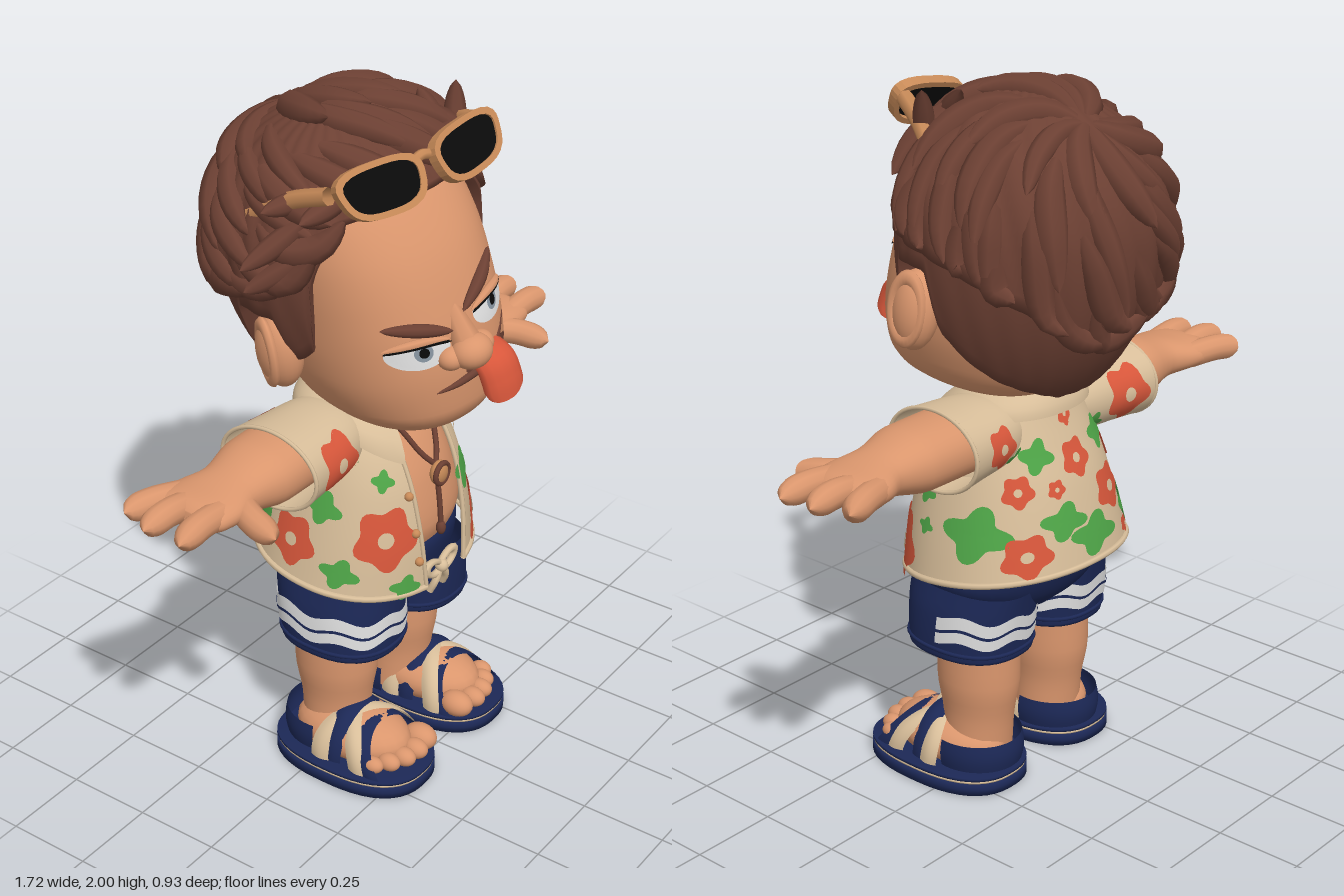
import * as THREE from 'three';
import { mergeVertices } from 'three/addons/utils/BufferGeometryUtils.js';

const { PI, sin, cos, abs, sqrt, asin, min, max } = Math;
const mat = (name, color) => {
  const m = new THREE.MeshStandardMaterial({ color, side: THREE.DoubleSide });
  m.name = name;
  return m;
};
const V = (p) => new THREE.Vector3(...p);

// Smooth, overshoot-free interpolation of rows [key, a, b, ...]
function sample(rows, k) {
  const n = rows.length;
  let i = 0;
  while (i < n - 2 && k > rows[i + 1][0]) i++;
  const h = rows[i + 1][0] - rows[i][0], s = min(1, max(0, (k - rows[i][0]) / h));
  const sec = (j, c) => (rows[j + 1][c] - rows[j][c]) / (rows[j + 1][0] - rows[j][0]);
  const slope = (j, c) => {
    if (j === 0) return sec(0, c);
    if (j === n - 1) return sec(n - 2, c);
    const p = sec(j - 1, c), q = sec(j, c);
    return p * q <= 0 ? 0 : (2 * p * q) / (p + q);
  };
  return rows[0].slice(1).map((_, c0) => {
    const c = c0 + 1, t2 = s * s, t3 = t2 * s;
    return rows[i][c] * (2 * t3 - 3 * t2 + 1) + rows[i + 1][c] * (3 * t2 - 2 * t3)
      + h * (slope(i, c) * (t3 - 2 * t2 + s) + slope(i + 1, c) * (t3 - t2));
  });
}
// Surface over rings [y, halfWidth, zFront, zBack]; angle 0 is the front
const surf = (rings, e = 2.2, x0 = 0) => (a, y, off = 0) => {
  const [w, zf, zb] = sample(rings, y), s = sin(a), c = cos(a);
  const k = (abs(s) ** e + abs(c) ** e) ** (-1 / e);
  return [x0 + (w + off) * s * k, y, (zf + zb) / 2 + ((zf - zb) / 2 + off) * c * k];
};
function grid(f, nu, nv) {
  const pos = [], idx = [];
  for (let j = 0; j <= nv; j++) for (let i = 0; i <= nu; i++) pos.push(...f(i / nu, j / nv));
  for (let j = 0; j < nv; j++) for (let i = 0; i < nu; i++) {
    const p = j * (nu + 1) + i, q = p + nu + 1;
    idx.push(p, p + 1, q + 1, p, q + 1, q);
  }
  let g = new THREE.BufferGeometry();
  g.setAttribute('position', new THREE.Float32BufferAttribute(pos, 3));
  g.setIndex(idx);
  g = mergeVertices(g, 1e-5);
  g.computeVertexNormals();
  return g;
}
function loft(rings, e = 2.2, x0 = 0, nu = 40, sub = 4) {
  const f = surf(rings, e, x0), n = rings.length - 1;
  return grid((u, v) => {
    const t = v * n, i = min(n - 1, Math.floor(t + 1e-6));
    return f(u * 2 * PI, rings[i][0] + (rings[i + 1][0] - rings[i][0]) * (t - i));
  }, nu, n * sub);
}
// Tube whose radius follows a rule along its length
function taper(points, radius, n = 10, m = 8) {
  const curve = new THREE.CatmullRomCurve3(points.map(V));
  const g = new THREE.TubeGeometry(curve, n, 1, m), p = g.attributes.position, v = new THREE.Vector3();
  for (let i = 0; i < p.count; i++) {
    const s = Math.floor(i / (m + 1)) / n, c = curve.getPointAt(s);
    v.fromBufferAttribute(p, i).sub(c).multiplyScalar(radius(s)).add(c);
    p.setXYZ(i, v.x, v.y, v.z);
  }
  return g;
}
const cord = (points, r, n = 24, closed = false) =>
  new THREE.TubeGeometry(new THREE.CatmullRomCurve3(points.map(V), closed), n, r, 7, closed);
const rounded = (r) => (s) => max(0.0005, r * (s < 0.7 ? 1 : sqrt(max(0, 1 - ((s - 0.7) / 0.3) ** 2))));
const leafy = (r) => (s) => 0.001 + r * max(0, sin(PI * s)) ** 0.6;
const ball = (p, rx, ry = rx, rz = rx) => new THREE.SphereGeometry(1, 24, 16).scale(rx, ry, rz).translate(...p);
// Thin painted patch laid on a surface
const patch = (place, outline, off = 0.005) => grid((u, v) => {
  const [x, y] = outline(u * 2 * PI);
  return place(x * (1 - v), y * (1 - v), off);
}, 40, 5);
const oval = (rx, ry, top = 1) => (t) => [rx * cos(t), min(ry * sin(t), top)];
const lobed = (R, n, d, sx = 1) => (t) => {
  const r = R * (1 - d + d * cos(n * t + 1));
  return [r * cos(t) * sx, r * sin(t)];
};
function mirror(geo) {
  const g = mergeVertices(geo.clone().scale(-1, 1, 1)), ix = g.index;
  for (let i = 0; i < ix.count; i += 3) {
    const a = ix.getX(i);
    ix.setX(i, ix.getX(i + 1));
    ix.setX(i + 1, a);
  }
  return g;
}

export function createModel() {
  const root = new THREE.Group();
  const skin = mat('skin', 0xda966d), brown = mat('hairBrown', 0x6c4033), navy = mat('navy', 0x1c2856);
  const cream = mat('cream', 0xd8be9a), red = mat('coralRed', 0xd8573b), green = mat('leafGreen', 0x4fa648);
  const white = mat('white', 0xe2e2e2), black = mat('black', 0x0a0a0a), tan = mat('frameTan', 0xc78a58);
  const grey = mat('irisGrey', 0x8794a0);
  const add = (parent, name, geo, m) => {
    const mesh = new THREE.Mesh(geo, m);
    mesh.name = name;
    parent.add(mesh);
  };
  const pair = (parent, name, geo, m) => {
    add(parent, name + 'Left', geo, m);
    add(parent, name + 'Right', mirror(geo), m);
  };

  // Torso and shirt
  add(root, 'torso', loft([[0.6, 0.22, 0.16, -0.16], [0.68, 0.25, 0.205, -0.19], [0.77, 0.262, 0.235, -0.22], [0.9, 0.23, 0.215, -0.2],
    [1.0, 0.2, 0.175, -0.18], [1.09, 0.17, 0.11, -0.15], [1.14, 0.11, 0.055, -0.15], [1.24, 0.1, 0.045, -0.14]]), skin);
  const shirtRaw = surf([[0.64, 0.325, 0.27, -0.3], [0.75, 0.302, 0.265, -0.28], [0.9, 0.265, 0.24, -0.245],
    [1.0, 0.235, 0.2, -0.21], [1.08, 0.2, 0.145, -0.18], [1.14, 0.15, 0.085, -0.16], [1.17, 0.105, 0.05, -0.145]]);
  const shirt = (a, y, off) => {
    const p = shirtRaw(a, y, off);
    p[1] -= 0.14 * p[2] * min(1, max(0, (1 - y) / 0.35));
    return p;
  };
  const gap = (y) => 0.28 + (y - 0.63) * 0.45;
  const around = (u, y) => gap(y) + u * (2 * PI - 2 * gap(y));
  add(root, 'shirt', grid((u, v) => shirt(around(u, 0.64 + 0.53 * v), 0.64 + 0.53 * v), 64, 28), cream);
  add(root, 'shirtHem', cord([...Array(33).keys()].map((i) => shirt(around(i / 32, 0.645), 0.645)), 0.009, 64), cream);
  for (const s of [0, 1]) add(root, 'placket', cord([...Array(9).keys()].map((i) => {
    const y = 0.645 + i * 0.052;
    return shirt(around(s, y), y);
  }), 0.007), cream);
  for (const y of [0.73, 0.81, 0.91]) add(root, 'button', ball(shirt(-gap(y) - 0.06, y, 0.004), 0.013), tan);
  add(root, 'collar', grid((u, v) => {
    const a = 0.46 + u * (2 * PI - 0.92), front = max(0, cos(a)) ** 2;
    const o = shirt(a, 1.1 - 0.13 * front, 0.022), k = sin(v * PI / 2);
    return [0.108 * sin(a) * (1 - k) + o[0] * k, 1.185 * (1 - v) + o[1] * v, (-0.045 + 0.108 * cos(a)) * (1 - k) + o[2] * k];
  }, 48, 6), cream);

  // Shirt print: [angle in degrees, height, size, kind]
  const flower = (place, R) => {
    add(root, 'flower', patch(place, lobed(R, 5, 0.12)), red);
    add(root, 'flowerCentre', patch(place, oval(R * 0.24, R * 0.24), 0.008), cream);
  };
  const print = [[-42, 0.81, 0.09, 1], [-66, 0.71, 0.045, 0], [-42, 0.96, 0.03, 0], [-30, 0.67, 0.035, 0], [47, 0.71, 0.102, 1],
    [30, 0.88, 0.055, 0], [72, 0.88, 0.035, 0], [112, 0.79, 0.085, 0], [136, 0.91, 0.05, 1], [76, 0.79, 0.025, 0],
    [140, 0.72, 0.07, 1], [163, 0.8, 0.06, 0], [180, 0.97, 0.06, 1], [205, 0.84, 0.075, 1], [150, 1.0, 0.05, 0],
    [212, 1.0, 0.05, 0], [183, 0.73, 0.07, 0], [232, 0.74, 0.075, 0], [240, 0.92, 0.055, 1], [262, 0.76, 0.08, 1],
    [280, 0.88, 0.05, 0], [215, 0.69, 0.03, 1], [160, 0.9, 0.03, 1], [180, 1.09, 0.035, 1]];
  for (const [deg, y0, R, kind] of print) {
    const a0 = deg * PI / 180;
    const place = (dx, dy, off) => shirt(a0 + dx / 0.27, y0 + dy, off);
    if (kind) flower(place, R);
    else add(root, 'leaf', patch(place, lobed(R, 4, 0.2, 1.25)), green);
  }

  // Sleeves, arms and hands, built along x
  const sleeve = [[0.08, 0.07, 0.07, -0.13], [0.18, 0.1, 0.11, -0.16], [0.3, 0.108, 0.125, -0.175], [0.385, 0.115, 0.13, -0.185]];
  const sideways = (g, y) => g.rotateZ(-PI / 2).translate(0, y, 0);
  for (const [side, len, bloomX, bloomR] of [[1, 0.92, 0.24, 0.062], [-1, 1.08, 0.3, 0.086]]) {
    const g = sideways(loft(sleeve), 1.05).scale(len, 1, 1);
    add(root, 'sleeve', side > 0 ? g : mirror(g), cream);
    const rim = [...Array(24).keys()].map((i) => [side * 0.385 * len, 1.05 + 0.115 * sin(i * PI / 12), -0.0275 + 0.157 * cos(i * PI / 12)]);
    add(root, 'sleeveRim', cord(rim, 0.006, 48, true), cream);
    for (const s of [1, -1]) {
      const on = (x0, y0) => (dx, dy, off) => {
        const x = x0 + s * dx, [h, zf, zb] = sample(sleeve, abs(x) / len);
        return [x, y0 + dy, (zf + zb) / 2 + s * ((zf - zb) / 2 * sqrt(max(0, 1 - ((y0 + dy - 1.05) / h) ** 2)) + off + 0.003)];
      };
      flower(on(side * bloomX, 1.055), bloomR);
      add(root, 'leaf', patch(on(side * 0.17, 1.0), lobed(0.035, 4, 0.24, 1.2)), green);
    }
  }
  pair(root, 'arm', sideways(loft([[0.25, 0.09, 0.09, -0.15], [0.45, 0.088, 0.088, -0.152], [0.57, 0.063, 0.06, -0.13],
    [0.65, 0.05, 0.075, -0.16], [0.71, 0.044, 0.068, -0.168], [0.745, 0.025, 0.04, -0.14], [0.75, 0.002, -0.04, -0.06]]), 1.06), skin);
  for (const [a, b, c] of [[[0.66, 1.06, -0.12], [0.74, 1.068, -0.15], [0.82, 1.062, -0.178]],
    [[0.67, 1.06, -0.07], [0.77, 1.075, -0.075], [0.86, 1.065, -0.08]],
    [[0.66, 1.06, 0.02], [0.77, 1.07, 0.025], [0.855, 1.06, 0.032]],
    [[0.58, 1.05, 0.0], [0.63, 1.045, 0.08], [0.655, 1.03, 0.18]]])
    pair(root, 'finger', taper([a, b, c], rounded(0.038), 14, 12), skin);

  // Shorts with wavy stripes
  add(root, 'shortsHips', loft([[0.5, 0.1, 0.12, -0.12], [0.56, 0.25, 0.188, -0.185], [0.62, 0.285, 0.21, -0.215],
    [0.69, 0.28, 0.222, -0.235], [0.75, 0.27, 0.2, -0.235]]), navy);
  const leg = [[0.4, 0.07, 0.09, -0.07], [0.401, 0.15, 0.195, -0.155], [0.43, 0.151, 0.198, -0.158], [0.52, 0.145, 0.2, -0.17],
    [0.6, 0.125, 0.198, -0.185]];
  pair(root, 'shortsLeg', loft(leg, 2.4, 0.155), navy);
  const legAt = surf(leg, 2.4, 0.155);
  pair(root, 'shortsCuff', cord([...Array(24).keys()].map((i) => legAt(i * PI / 12, 0.425)), 0.006, 48, true), navy);
  for (const [y, h, off, m] of [[0.456, 0.078, 0.004, white], [0.49, 0.009, 0.007, navy]]) {
    const band = (a0, a1) => grid((u, v) => {
      const a = a0 + u * (a1 - a0);
      return legAt(a, y + h * v + 0.009 * sin(a * 7), off);
    }, 60, 2);
    add(root, 'stripeLeft', band(PI * 0.5, PI * 1.6), m);
    add(root, 'stripeRight', mirror(band(0, 2 * PI)), m);
  }
  for (const s of [1, -1]) {
    const loop = new THREE.TorusGeometry(0.026, 0.011, 8, 20).scale(1.4, 0.8, 1).rotateZ(s * 0.4).translate(s * 0.034, 0.63, 0.245);
    add(root, 'drawstringLoop', loop, cream);
    add(root, 'drawstringEnd', cord([[0, 0.625, 0.247], [s * 0.025, 0.585, 0.247], [s * 0.032, 0.55, 0.232]], 0.011), cream);
  }
  add(root, 'drawstringKnot', ball([0, 0.625, 0.25], 0.019), cream);

  // Legs, feet and sandals
  pair(root, 'leg', loft([[0.07, 0.098, 0.095, -0.1], [0.18, 0.096, 0.1, -0.11], [0.3, 0.11, 0.118, -0.13], [0.46, 0.11, 0.12, -0.13]], 2, 0.152), skin);
  pair(root, 'foot', ball([0.18, 0.095, 0.075], 0.118, 0.08, 0.185), skin);
  for (const [x, z, r] of [[0.095, 0.25, 0.04], [0.15, 0.27, 0.031], [0.2, 0.265, 0.029], [0.245, 0.245, 0.027], [0.282, 0.215, 0.025]])
    pair(root, 'toe', ball([x, 0.083, z], r, r * 0.95, r * 1.3), skin);
  const sole = (y0, y1, k) => loft([[y0, 0.02, 0.1, 0.06], [y0 + 0.001, 0.155 + k, 0.32 + k, -0.155 - k],
    [y1 - 0.001, 0.155 + k, 0.32 + k, -0.155 - k], [y1, 0.02, 0.1, 0.06]], 2.5, 0.185, 48, 2);
  pair(root, 'sole', sole(0, 0.036, 0.006), navy);
  pair(root, 'midsole', sole(0.036, 0.044, 0.003), cream);
  pair(root, 'insole', sole(0.044, 0.055, 0.005), navy);
  const strap = (z0, w, skew, back, hy, hx) => grid((u, v) => {
    const t = u * PI, bulge = 1 + 0.06 * sin(v * PI);
    return [0.183 + hx * bulge * cos(t), 0.05 + hy * bulge * sin(t), z0 - w * v - back * sin(t) + skew * cos(t)];
  }, 30, 6);
  pair(root, 'toeStrap', strap(0.255, 0.075, 0, 0.08, 0.112, 0.124), navy);
  pair(root, 'crossStrapOuter', strap(0.15, 0.06, -0.07, 0.02, 0.126, 0.13), cream);
  pair(root, 'crossStrapInner', strap(0.14, 0.06, 0.07, 0.03, 0.122, 0.128), cream);
  pair(root, 'ankleStrap', strap(0.115, 0.06, 0, 0.0, 0.134, 0.122), navy);
  pair(root, 'heelStrap', grid((u, v) => {
    const a = PI * (0.45 + 1.1 * u), r = 1 + 0.05 * sin(v * PI);
    return [0.17 + 0.125 * r * sin(a), 0.05 + 0.085 * v, -0.01 + 0.135 * r * cos(a)];
  }, 30, 6), navy);

  // Necklace
  for (const s of [1, -1])
    add(root, 'necklaceCord', cord([[s * 0.1, 1.15, 0.0], [s * 0.075, 1.08, 0.14], [s * 0.036, 0.99, 0.2], [0, 0.945, 0.225]], 0.008), brown);
  add(root, 'pendant', ball([0, 0.925, 0.235], 0.032, 0.036, 0.022), tan);
  add(root, 'pendantRing', new THREE.TorusGeometry(0.03, 0.008, 8, 24).translate(0, 0.925, 0.245), brown);
  add(root, 'pendantString', cord([[0, 0.89, 0.232], [0, 0.82, 0.24], [0, 0.75, 0.245]], 0.008), brown);
  add(root, 'pendantBead', ball([0, 0.75, 0.245], 0.014, 0.022, 0.014), brown);

  // Head, tilted and turned
  const tilt = new THREE.Group();
  tilt.name = 'head';
  tilt.position.set(0, 1.45, 0);
  tilt.rotation.set(0, -0.25, 0.13);
  root.add(tilt);
  const head = new THREE.Group();
  head.name = 'headParts';
  head.position.y = -1.45;
  tilt.add(head);
  const faceRings = [[1.13, 0.02, 0.1, 0.06], [1.134, 0.13, 0.28, -0.1], [1.16, 0.2, 0.345, -0.17], [1.22, 0.245, 0.375, -0.22],
    [1.32, 0.275, 0.38, -0.27], [1.42, 0.283, 0.37, -0.3], [1.52, 0.283, 0.345, -0.3], [1.62, 0.28, 0.31, -0.3],
    [1.72, 0.265, 0.255, -0.28], [1.82, 0.22, 0.175, -0.24], [1.92, 0.08, 0.03, -0.1]];
  add(head, 'face', loft(faceRings, 2.3, 0, 56, 5), skin);
  const onFace = (x, y, off = 0) => {
    const [w, zf, zb] = sample(faceRings, y);
    return [x, y, (zf + zb) / 2 + (zf - zb) / 2 * max(0, 1 - abs(x / w) ** 2.3) ** (1 / 2.3) + off];
  };
  const at = (x0, y0) => (dx, dy, off) => onFace(x0 + dx, y0 + dy, off);
  for (const [s, y] of [[-1, 1.42], [1, 1.46]]) {
    const x = s * 0.125;
    add(head, 'eyeWhite', patch(at(x, y), oval(0.08, 0.046, 0.024), 0.004), white);
    add(head, 'iris', patch(at(x + 0.005, y), oval(0.024, 0.024, 0.021), 0.006), grey);
    add(head, 'pupil', patch(at(x + 0.005, y + 0.001), oval(0.013, 0.014), 0.008), black);
    for (const [name, dy, off, r, m] of [['eyelid', 0.029, 0.005, 0.012, skin], ['lashLine', 0.024, 0.009, 0.007, black]])
      add(head, name, taper([-1, -0.4, 0.4, 1].map((k) => onFace(x + k * 0.082, y + dy - 0.014 * k * k, off)), leafy(r), 16), m);
  }
  add(head, 'browRight', taper([[-0.2, 1.495], [-0.12, 1.483], [-0.03, 1.452]].map((p) => onFace(...p, 0.006)), leafy(0.018), 14), brown);
  add(head, 'browLeft', taper([[0.015, 1.485], [0.1, 1.533], [0.19, 1.565]].map((p) => onFace(...p, 0.006)), leafy(0.018), 14), brown);
  add(head, 'noseBridge', taper([[0, 1.51, 0.32], [0, 1.45, 0.355], [0, 1.39, 0.39]], (s) => 0.022 + 0.025 * s), skin);
  add(head, 'noseTip', ball([0, 1.39, 0.4], 0.058, 0.047, 0.052), skin);
  for (const s of [1, -1]) add(head, 'nostril', ball([s * 0.052, 1.382, 0.375], 0.036, 0.032, 0.037), skin);
  add(head, 'mouth', taper([[-0.1, 1.29], [-0.02, 1.3], [0.08, 1.32], [0.19, 1.385]].map((p) => onFace(...p, 0.001)), leafy(0.012), 20), brown);
  add(head, 'mouthOpening', patch(at(0.085, 1.325), oval(0.095, 0.028), 0.003), brown);
  add(head, 'tongue', taper([[0, 1.335, 0.34], [0, 1.315, 0.395], [0, 1.27, 0.415], [0, 1.205, 0.425]], rounded(0.035), 18, 14)
    .scale(1.8, 1, 1).rotateZ(0.03).translate(0.12, 0, 0), red);
  pair(head, 'ear', ball([0.31, 1.37, -0.012], 0.06, 0.11, 0.072), skin);
  pair(head, 'earRim', new THREE.TorusGeometry(0.05, 0.014, 8, 28).scale(1, 1.65, 1).rotateY(PI / 2 + 0.3).translate(0.345, 1.375, -0.02), skin);

  // Hair: close lower layer, ridged upper layer, swept locks
  const hairAt = (a, el, off) => {
    const c = cos(el), zr = cos(a) > 0 ? 0.29 : 0.37;
    return [(0.352 + off) * c * sin(a), 1.6 + ((el > 0 ? 0.345 : 0.5) + off) * sin(el), -0.04 + (zr + off) * c * cos(a)];
  };
  const elevation = (table, a) => {
    const deg = abs(((a + 3 * PI) % (2 * PI)) - PI) * 180 / PI, y = sample(table, deg)[0] - 1.6;
    return asin(y / (y > 0 ? 0.36 : 0.51));
  };
  const lowLine = [[0, 1.78], [30, 1.78], [45, 1.7], [54, 1.6], [57, 1.41], [70, 1.37], [76, 1.5], [98, 1.5], [106, 1.34], [140, 1.22], [180, 1.18]];
  const topLine = [[0, 1.78], [40, 1.76], [55, 1.66], [75, 1.58], [110, 1.53], [180, 1.35]];
  const shell = (table, off, ridge) => grid((u, v) => {
    const a = u * 2 * PI, e0 = elevation(table, a), el = e0 + (PI / 2 - e0) * max(0, v - 0.04) / 0.96;
    return hairAt(a, el, v === 0 ? -0.03 : off + ridge * abs(sin(13 * a + 5 * el)) * cos(el));
  }, 200, 25);
  add(head, 'hairLower', shell(lowLine, 0.014, 0.003), brown);
  add(head, 'hairUpper', shell(topLine, 0.022, 0.01), brown);
  // Locks spread from a crown set towards the back and stop at the hairline
  const fromCrown = (a, el, off) => {
    const x = cos(el) * sin(a), y = sin(el), z = cos(el) * cos(a), C = cos(0.55), S = sin(0.55);
    const b = Math.atan2(x, z * C - y * S), e = asin(max(-1, min(1, y * C + z * S)));
    return hairAt(b, max(e, elevation(topLine, b) + 0.03), off);
  };
  const lock = (place, a0, e0, a1, e1, lift, r) => add(head, 'hairLock', taper([0, 0.35, 0.7, 1].map((s) =>
    place(a0 + (a1 - a0) * s, e0 + (e1 - e0) * s, 0.01 + lift * s * s)), leafy(r), 12), brown);
  let seed = 7;
  const rnd = () => (seed = (seed * 16807) % 2147483647) / 2147483647;
  for (const [n, e0, e1] of [[10, 1.5, 0.8], [16, 1.1, 0.35], [20, 0.65, 0.02], [18, 0.25, -0.4]])
    for (let i = 0; i < n; i++) {
      const a = (i + rnd() * 0.7) / n * 2 * PI, end = e1 - 0.15 * rnd(), turn = 0.45 + 0.3 * rnd();
      if (e0 > 0.3 || cos(a) < 0.4) lock(fromCrown, a, e0 + 0.15 * rnd(), a + turn, end, 0.012 + 0.025 * rnd(), 0.032 + 0.014 * rnd());
    }
  for (const [a0, e0, a1, e1, lift] of [[-0.9, 0.6, -1.35, 0.2, 0.09], [-0.8, 0.8, -1.25, 0.55, 0.08], [-0.9, 0.3, -1.4, 0.02, 0.06],
    [-0.5, 0.75, -0.95, 0.5, 0.07], [0.9, 0.5, 1.2, 0.8, 0.11], [0.7, 0.7, 1.2, 1.0, 0.05]])
    lock(hairAt, a0, e0, a1, e1, lift, 0.03);

  // Sunglasses resting on the hair
  const glasses = new THREE.Group();
  glasses.name = 'sunglasses';
  glasses.position.set(0.015, 1.862, 0.25);
  glasses.rotation.x = -0.5;
  head.add(glasses);
  const rim = (rx, ry) => [...Array(32).keys()].map((i) => {
    const t = i * PI / 16, c = cos(t), s = sin(t), k = (abs(c) ** 3 + abs(s) ** 3) ** (-1 / 3);
    return new THREE.Vector2(rx * c * k * (1 + 0.13 * s), ry * s * k + 0.1 * rx * c);
  });
  const frame = new THREE.Shape(rim(0.12, 0.072));
  frame.holes.push(new THREE.Path(rim(0.103, 0.056)));
  const flat = { depth: 0.03, bevelEnabled: false };
  const set = (g) => g.rotateY(0.14).translate(0.14, 0, 0);
  pair(glasses, 'frame', set(new THREE.ExtrudeGeometry(frame, flat)), tan);
  pair(glasses, 'lens', set(new THREE.ExtrudeGeometry(new THREE.Shape(rim(0.106, 0.059)), { ...flat, depth: 0.009 }).translate(0, 0, 0.015)), black);
  add(glasses, 'bridge', cord([[-0.04, 0.02, 0.015], [0, 0.032, 0.022], [0.04, 0.02, 0.015]], 0.014), tan);
  pair(head, 'temple', cord([[0.255, 1.885, 0.215], [0.28, 1.845, 0.1], [0.315, 1.77, -0.04]], 0.024), tan);
  return root;
}
